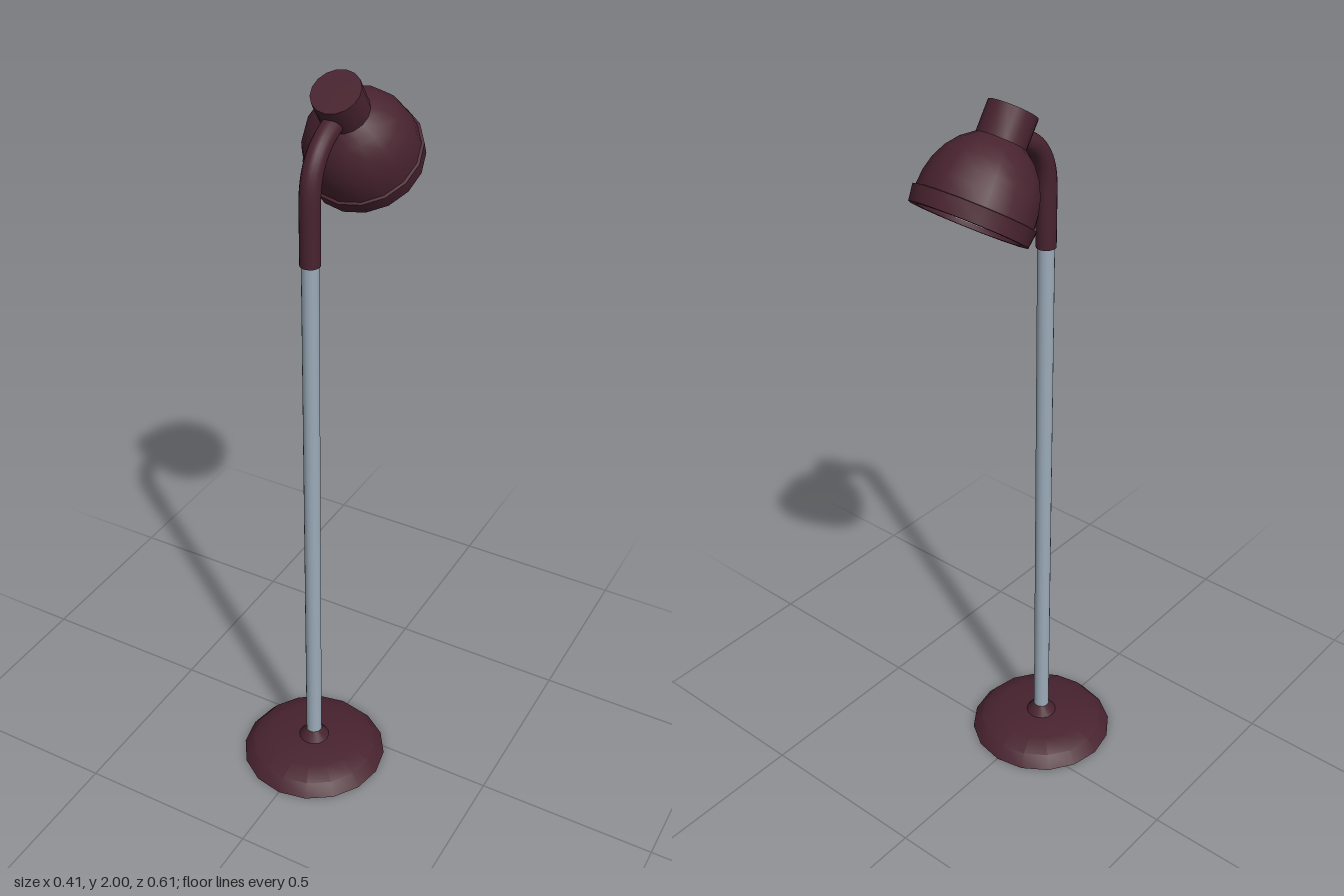
import * as THREE from 'three';
import { toCreasedNormals } from 'three/addons/utils/BufferGeometryUtils.js';

const SIDES = 16;
const POLE_Z = 0.1;

export function createModel() {
  const group = new THREE.Group();
  group.name = 'floorLamp';

  const material = (name, color) => {
    const m = new THREE.MeshStandardMaterial({ color, side: THREE.DoubleSide });
    m.name = name;
    return m;
  };
  const maroon = material('maroon enamel', 0x48232f);
  const steel = material('brushed steel', 0x9cacba);
  const cream = material('bulb glass', 0xdad2c2);

  const add = (parent, name, geometry, mat) => {
    const mesh = new THREE.Mesh(geometry, mat);
    mesh.name = name;
    parent.add(mesh);
    return mesh;
  };
  // Turned part from [radius, height] pairs, listed bottom to top
  const turned = (pairs, crease = 0.6) => toCreasedNormals(
    new THREE.LatheGeometry(pairs.map(([r, y]) => new THREE.Vector2(r, y)), SIDES), crease);

  // Hollow domed foot with a small conical collar
  const stand = new THREE.Group();
  stand.name = 'stand';
  stand.position.z = POLE_Z;
  group.add(stand);
  add(stand, 'base', turned([[0.205, 0], [0.178, 0.033], [0.125, 0.05], [0.043, 0.054]]), maroon);
  add(stand, 'baseCollar', turned([[0.043, 0.054], [0.023, 0.082]]), maroon);

  // Straight pole
  const pole = add(stand, 'pole', new THREE.CylinderGeometry(0.022, 0.022, 1.54, SIDES, 1, true), steel);
  pole.position.y = 0.82;

  // Sleeve that bends over to the head
  const path = new THREE.CurvePath();
  const v = (y, z) => new THREE.Vector3(0, y, z);
  path.add(new THREE.LineCurve3(v(1.58, POLE_Z), v(1.73, POLE_Z)));
  path.add(new THREE.CubicBezierCurve3(v(1.73, POLE_Z), v(1.82, POLE_Z), v(1.87, 0.06), v(1.895, -0.03)));
  add(group, 'curvedArm', new THREE.TubeGeometry(path, 24, 0.026, SIDES), maroon);
  const sleeveEnd = add(group, 'sleeveEnd', new THREE.RingGeometry(0.021, 0.026, SIDES), maroon);
  sleeveEnd.rotation.x = Math.PI / 2;
  sleeveEnd.position.set(0, 1.58, POLE_Z);

  // Tilted head; its origin is the centre of the cap's top face
  const head = new THREE.Group();
  head.name = 'head';
  head.position.set(0, 1.963, -0.023);
  head.rotation.x = THREE.MathUtils.degToRad(35);
  group.add(head);

  add(head, 'neckCap', turned([[0.062, -0.08], [0.062, 0], [0, 0]]), maroon);
  add(head, 'shade', turned([
    [0.145, -0.237], [0.142, -0.2], [0.133, -0.165], [0.116, -0.13], [0.092, -0.1], [0.06, -0.075],
  ]), maroon);
  // Rim band with an inward lip
  add(head, 'shadeRim', turned([
    [0.128, -0.265], [0.128, -0.277], [0.147, -0.277], [0.152, -0.237], [0.143, -0.235],
  ]), maroon);
  add(head, 'reflector', turned([
    [0.129, -0.266], [0.13, -0.21], [0.121, -0.165], [0.104, -0.13], [0.08, -0.103], [0, -0.09],
  ], 0.9), steel);

  // Bulb hanging inside the shade
  add(head, 'bulb', turned([
    [0, -0.243], [0.02, -0.238], [0.036, -0.225], [0.043, -0.203],
    [0.038, -0.178], [0.026, -0.155], [0.024, -0.095],
  ], 1.2), cream);

  return group;
}
